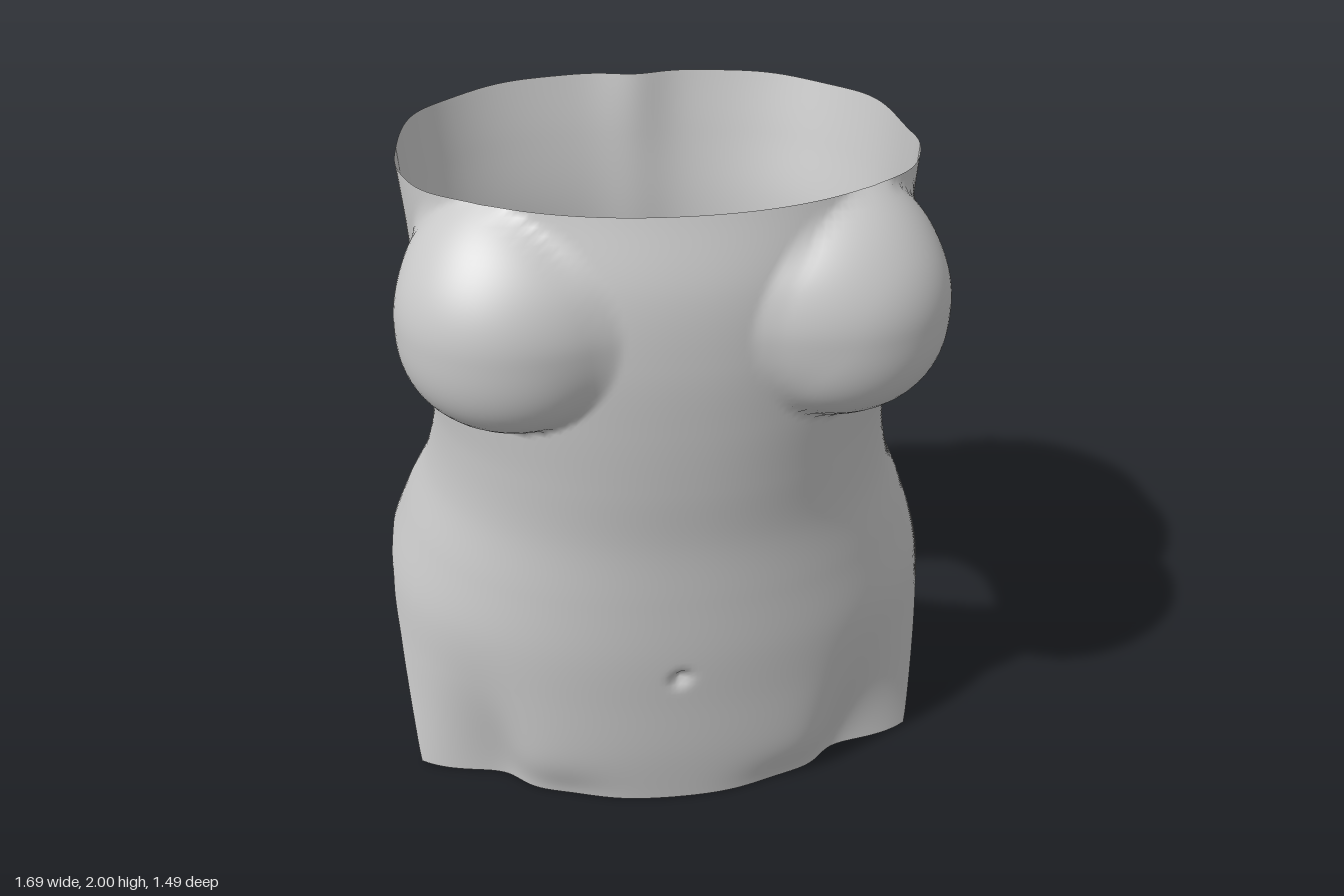
import * as THREE from 'three';

// Torso cross-section values every 0.2 units of height, from the hem to the rim
const heights = [0, 0.2, 0.4, 0.6, 0.8, 1, 1.2, 1.4, 1.6, 1.8, 2];
const profile = (values) => {
  const curve = new THREE.CubicInterpolant(heights, values, 1);
  return (y) => curve.evaluate(THREE.MathUtils.clamp(y, 0, 2))[0];
};
const halfWidth = profile([0.94, 0.895, 0.872, 0.855, 0.79, 0.71, 0.675, 0.685, 0.70, 0.715, 0.735]);
const frontZ = profile([0.57, 0.60, 0.62, 0.64, 0.65, 0.66, 0.685, 0.705, 0.715, 0.70, 0.64]);
const backZ = profile([0.75, 0.70, 0.64, 0.59, 0.54, 0.51, 0.50, 0.49, 0.49, 0.51, 0.545]);
const axisZ = profile([0, 0, -0.02, -0.05, -0.03, 0.03, 0.08, 0.1, 0.1, 0.08, 0.08]);
const frontPower = profile([2.1, 2.1, 2.1, 2.1, 2.1, 2.1, 2.1, 2.1, 2.1, 2.1, 2.1]);
const backPower = profile([2.4, 2.5, 2.6, 2.7, 2.4, 2.1, 1.98, 1.98, 2.1, 2.4, 2.7]);

const depthAt = (y, front) => (front ? frontZ(y) - axisZ(y) : backZ(y) + axisZ(y));
const powerAt = (y, front) => (front ? frontPower(y) : backPower(y));
const bump = (d, size) => Math.exp(-((d / size) ** 2));

// Angle around the body axis of the surface point at depth z and height y
function angleAtZ(z, y) {
  const dz = z - axisZ(y);
  const n = powerAt(y, dz > 0);
  const k = Math.min(Math.abs(dz) / depthAt(y, dz > 0), 1);
  return Math.atan2(dz, halfWidth(y) * (1 - k ** n) ** (1 / n));
}

// Distance along a ray from the axis to the far side of the breast, 0 if missed.
// Each level slice is an ellipse, wider than deep.
function breastRadius(c, s, y) {
  const t = (y - 1.66) / (y < 1.66 ? 0.295 : 0.4);
  if (Math.abs(t) >= 1) return 0;
  const size = t < 0 ? Math.sqrt(1 - Math.abs(t) ** 2.6) : (1 - t * t) ** 0.75;
  const rx = 0.325 * size;
  const rz = 0.293 * size;
  const cx = 0.43 / rx;
  const cz = (0.455 + (t < 0 ? 0.04 : -0.06) * t * t - axisZ(y)) / rz;
  const dx = c / rx;
  const dz = s / rz;
  const a = dx * dx + dz * dz;
  const b = cx * dx + cz * dz;
  const root = b * b - a * (cx * cx + cz * cz - 1);
  return root > 0 ? (b + Math.sqrt(root)) / a : 0;
}

// Point of the positive-x half of the skin
function skinPoint(angle, y) {
  const c = Math.max(Math.cos(angle), 0);
  const s = Math.sin(angle);
  const front = s > 0;
  const n = powerAt(y, front);
  let r = ((c / halfWidth(y)) ** n + (Math.abs(s) / depthAt(y, front)) ** n) ** (-1 / n);
  const x = r * c;
  if (front) {
    r -= 0.03 * bump(Math.hypot(x, y - 0.52), 0.025); // navel
    r -= 0.03 * bump(x - 0.38, 0.16) * bump(y, 0.1); // groin hollows
    r -= 0.09 * bump(x - 0.62, 0.13) * bump(y, 0.33); // hollow beside the hip flap
    // Crisp fold below the breast, soft blend into the chest above
    const b = breastRadius(c, s, y);
    const k = THREE.MathUtils.lerp(0.02, 0.14, THREE.MathUtils.smoothstep(y, 1.4, 1.7));
    const h = Math.max(k - Math.abs(r - b), 0) / k;
    const fade = 1 - THREE.MathUtils.smoothstep(y, 1.8, 2);
    r = Math.max(r, b) + h * h * k * 0.22 * fade;
  } else {
    r -= (0.013 + 0.02 * bump(y - 2, 0.2)) * bump(x, 0.1); // spine groove
    r -= 0.045 * bump(x, 0.04) * bump(y - 0.1, 0.1); // cleft
  }
  return [r * c, y, axisZ(y) + r * s];
}

// Side cutout from front corner to back corner as (z, y)
const cutout = new THREE.CatmullRomCurve3([
  [0.31, 0.005], [0.28, 0.13], [0.22, 0.33], [0.18, 0.48], [0.12, 0.57], [0.03, 0.63], [-0.05, 0.66],
  [-0.17, 0.66], [-0.3, 0.6], [-0.39, 0.5], [-0.42, 0.36], [-0.42, 0.13], [-0.45, 0.005],
].map(([z, y]) => new THREE.Vector3(0, y, z)), false, 'centripetal');

// Columns of one half: hem angle and height, and the angle each column reaches higher up
function halfColumns() {
  const { lerp } = THREE.MathUtils;
  const quarter = Math.PI / 2;
  const frontCorner = angleAtZ(0.31, 0.005);
  const backCorner = angleAtZ(-0.45, 0.005);
  const backUpper = backCorner - 0.17;
  const columns = [];
  for (let i = 0; i < 50; i++) {
    const a = lerp(quarter, frontCorner, i / 50);
    columns.push({ low: a, high: a, y: 0.005 });
  }
  for (let i = 0; i < 40; i++) {
    const p = cutout.getPointAt(i / 40);
    columns.push({ low: angleAtZ(p.z, p.y), high: lerp(frontCorner, backUpper, i / 40), y: p.y });
  }
  for (let i = 0; i <= 28; i++) {
    columns.push({ low: lerp(backCorner, -quarter, i / 28), high: lerp(backUpper, -quarter, i / 28), y: 0.005 });
  }
  return columns;
}

// Slightly uneven upper rim, lower at the sides and back
function rimHeight(angle) {
  const side = Math.cos(angle) ** 2;
  const back = Math.max(-Math.sin(angle), 0);
  const flank = side * (1 - THREE.MathUtils.smoothstep(angle, 0.1, 0.8));
  return 2 - 0.025 * flank - 0.015 * back + 0.006 * flank * Math.sin(11 * angle);
}

function torsoGeometry() {
  const half = halfColumns();
  const mirrored = half.slice(1, -1).reverse().map((c) => ({ ...c, mirror: true }));
  const ring = [...half, ...mirrored];
  const rows = 110;
  const positions = [];
  const index = [];
  for (let i = 0; i <= rows; i++) {
    for (const col of ring) {
      const y = THREE.MathUtils.lerp(col.y, rimHeight(col.high), i / rows);
      const t = Math.min((y - col.y) / (0.95 - col.y), 1);
      const angle = THREE.MathUtils.lerp(col.low, col.high, 1 - (1 - t) ** 2);
      const [x, py, z] = skinPoint(angle, y);
      positions.push(col.mirror ? -x : x, py, z);
    }
  }
  const n = ring.length;
  for (let i = 0; i < rows; i++) {
    for (let j = 0; j < n; j++) {
      const a = i * n + j;
      const b = i * n + ((j + 1) % n);
      index.push(a, b, b + n, a, b + n, a + n);
    }
  }
  const geometry = new THREE.BufferGeometry();
  geometry.setAttribute('position', new THREE.Float32BufferAttribute(positions, 3));
  geometry.setIndex(index);
  geometry.computeVertexNormals();
  return geometry;
}

export function createModel() {
  const group = new THREE.Group();
  group.name = 'torsoShell';
  const grey = new THREE.MeshStandardMaterial({ color: 0xc8c8c8, side: THREE.DoubleSide });
  grey.name = 'light grey';
  const torso = new THREE.Mesh(torsoGeometry(), grey);
  torso.name = 'torso';
  group.add(torso);
  return group;
}
